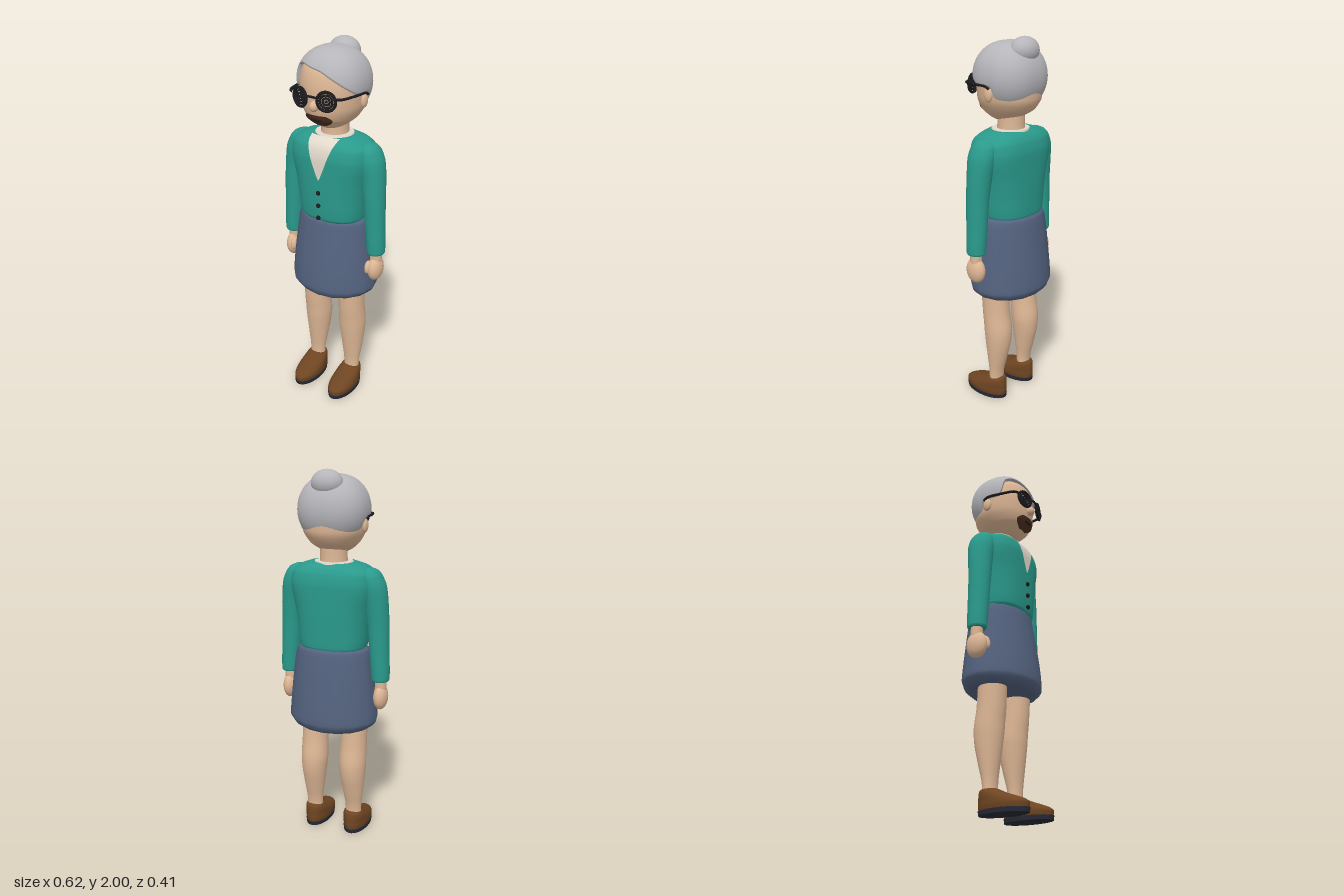
import * as THREE from 'three';

const mat = (name, color) => Object.assign(new THREE.MeshStandardMaterial({ color }), { name });

// Monotone smooth interpolation of section rows [y, cx, cz, rx, rz, n]
function sectionAt(rows, y) {
  const last = rows.length - 1;
  let k = 0;
  while (k < last - 1 && y > rows[k + 1][0]) k++;
  const h = rows[k + 1][0] - rows[k][0], t = Math.min(1, Math.max(0, (y - rows[k][0]) / h));
  const slope = (i, c) => (rows[i + 1][c] - rows[i][c]) / (rows[i + 1][0] - rows[i][0]);
  const tangent = (i, c) => {
    if (i === 0) return slope(0, c);
    if (i === last) return slope(last - 1, c);
    const a = slope(i - 1, c), b = slope(i, c);
    return a * b <= 0 ? 0 : 2 * a * b / (a + b);
  };
  return rows[k].map((v, c) => c === 0 ? y :
    v * (2 * t ** 3 - 3 * t * t + 1) + rows[k + 1][c] * (3 * t * t - 2 * t ** 3)
    + h * (tangent(k, c) * (t ** 3 - 2 * t * t + t) + tangent(k + 1, c) * (t ** 3 - t * t)));
}

const spow = (v, e) => Math.sign(v) * Math.abs(v) ** e;
const ringPoint = ([y, cx, cz, rx, rz, n = 2], a) =>
  [cx + rx * spow(Math.sin(a), 2 / n), y, cz + rz * spow(Math.cos(a), 2 / n)];

function buildGeometry(pos, idx) {
  const g = new THREE.BufferGeometry();
  g.setAttribute('position', new THREE.Float32BufferAttribute(pos, 3));
  g.setIndex(idx);
  g.computeVertexNormals();
  return g;
}

// Closed body lofted upwards through superellipse sections
function loft(rows, N = 40, sub = 4) {
  const pos = [], idx = [], rings = [];
  for (let k = 0; k < rows.length - 1; k++)
    for (let s = 0; s < sub; s++)
      rings.push(sectionAt(rows, rows[k][0] + (rows[k + 1][0] - rows[k][0]) * s / sub));
  rings.push(rows[rows.length - 1]);
  const addRing = r => { for (let i = 0; i < N; i++) pos.push(...ringPoint(r, i / N * Math.PI * 2)); };
  rings.forEach(addRing);
  for (let j = 0; j < rings.length - 1; j++)
    for (let i = 0; i < N; i++) {
      const a = j * N + i, b = j * N + (i + 1) % N;
      idx.push(a, b, a + N, b, b + N, a + N);
    }
  [[rings[0], false], [rings[rings.length - 1], true]].forEach(([r, top]) => {
    const base = pos.length / 3;
    addRing(r);
    pos.push(r[1], r[0], r[2]);
    for (let i = 0; i < N; i++) {
      const a = base + i, b = base + (i + 1) % N;
      idx.push(base + N, top ? a : b, top ? b : a);
    }
  });
  return buildGeometry(pos, idx);
}

// Thin sheet lying on the front of a lofted body
function frontPatch(rows, y0, y1, halfWidth, lift) {
  const pos = [], idx = [], U = 12, V = 14;
  for (let j = 0; j <= V; j++) {
    const y = y0 + (y1 - y0) * j / V, w = halfWidth(j / V);
    const [, , cz, rx, rz, n = 2] = sectionAt(rows, y);
    for (let i = 0; i <= U; i++) {
      const x = w * (2 * i / U - 1);
      pos.push(x, y, cz + rz * Math.max(0, 1 - Math.abs(x / rx) ** n) ** (1 / n) + lift);
      if (i < U && j < V) {
        const a = j * (U + 1) + i, b = a + U + 1;
        idx.push(a, a + 1, b, a + 1, b + 1, b);
      }
    }
  }
  return buildGeometry(pos, idx);
}

// Hair cap: from the crown down to a swept hairline, then tucked inwards
function hairCap() {
  const line = [[-180, 1.67], [-107, 1.675], [-96, 1.76], [-68, 1.77], [-56, 1.88], [-35, 1.9], [0, 1.885],
    [28, 1.845], [50, 1.805], [72, 1.772], [96, 1.765], [107, 1.675], [180, 1.67]];
  const pos = [], idx = [], N = 96, M = 24;
  for (let j = 0; j <= M + 1; j++)
    for (let i = 0; i < N; i++) {
      const deg = i / N * 360 - 180;
      const end = Math.acos((sectionAt(line, deg)[1] - 1.8) / 0.176);
      const p = end * Math.min(j, M) / M;
      const r = Math.max(0, Math.sin(p)) ** 0.85 * (j > M ? 0.84 : 1);
      pos.push(...ringPoint([1.8 + 0.176 * Math.cos(p), 0, -0.003, 0.183 * r, 0.177 * r, 2.35], deg * Math.PI / 180));
      if (j <= M) {
        const a = j * N + i, b = j * N + (i + 1) % N;
        idx.push(a, a + N, b, b, a + N, b + N);
      }
    }
  return buildGeometry(pos, idx);
}

export function createModel() {
  const root = new THREE.Group();
  root.name = 'woman';
  const skin = mat('skin', 0xdeb795), hair = mat('grey hair', 0xb6b5ba), teal = mat('teal knit', 0x2a9a8c),
    denim = mat('blue skirt', 0x54637f), leather = mat('brown leather', 0x6e4522), sole = mat('dark sole', 0x262a34),
    black = mat('black', 0x1c1c20), cream = mat('cream shirt', 0xe2d9cb), lip = mat('dark brown', 0x4e3020);
  hair.side = cream.side = lip.side = THREE.DoubleSide;

  const add = (name, geo, material, p = [0, 0, 0], parent = root) => {
    const m = new THREE.Mesh(geo, material);
    m.name = name;
    m.position.set(...p);
    parent.add(m);
    return m;
  };
  const ball = (name, material, p, r, parent) => {
    const m = add(name, new THREE.SphereGeometry(1, 28, 20), material, p, parent);
    m.scale.set(...r);
    return m;
  };

  // Head, neck and hair
  const headRows = [[1.576, 0, 0.035, 0.025, 0.03], [1.583, 0, 0.03, 0.055, 0.055], [1.605, 0, 0.018, 0.095, 0.095],
    [1.64, 0, 0.008, 0.132, 0.142], [1.7, 0, 0, 0.162, 0.166], [1.78, 0, 0, 0.17, 0.169],
    [1.86, 0, 0, 0.158, 0.156], [1.93, 0, 0, 0.1, 0.1], [1.95, 0, 0, 0.03, 0.03]];
  add('head', loft(headRows), skin);
  add('neck', loft([[1.49, 0, -0.01, 0.078, 0.078], [1.56, 0, -0.01, 0.071, 0.071], [1.66, 0, -0.01, 0.071, 0.071]]), skin);
  add('hair', hairCap(), hair);
  ball('hairBun', hair, [0, 1.932, -0.096], [0.083, 0.068, 0.069]);
  ball('nose', skin, [0, 1.715, 0.176], [0.023, 0.027, 0.026]);
  add('mouth', frontPatch(headRows, 1.605, 1.668, t => 0.028 + 0.05 * Math.sin(Math.PI * Math.min(1, t * 0.8 + 0.02)) ** 1.1, 0.009), lip);
  const lips = ball('lips', black, [0, 1.642, 0.158], [0.032, 0.007, 0.006]);
  lips.rotation.x = 0.3;

  // Torso clothes
  const torsoRows = [[1.075, 0, -0.01, 0.165, 0.128, 2.4], [1.1, 0, -0.007, 0.181, 0.143, 2.4],
    [1.2, 0, -0.005, 0.192, 0.148, 2.4], [1.3, 0, -0.005, 0.205, 0.15, 2.5], [1.42, 0, -0.005, 0.225, 0.15, 2.8],
    [1.48, 0, -0.005, 0.218, 0.139, 2.8], [1.515, 0, -0.005, 0.185, 0.118, 2.6], [1.535, 0, -0.005, 0.13, 0.09, 2.4]];
  add('cardigan', loft(torsoRows, 56), teal);
  add('shirtFront', frontPatch(torsoRows, 1.32, 1.536, t => 0.002 + 0.082 * t ** 0.9, 0.004), cream);
  add('shirtCollar', loft([[1.525, 0, -0.005, 0.108, 0.1], [1.54, 0, -0.007, 0.1, 0.093]]), cream);
  for (const y of [1.11, 1.18, 1.25]) ball('button', black, [0, y, 0.151], [0.012, 0.012, 0.01]);
  add('skirt', loft([[0.64, 0, -0.01, 0.2, 0.165], [0.655, 0, -0.01, 0.225, 0.182], [0.69, 0, -0.01, 0.246, 0.196],
    [0.76, 0, -0.01, 0.241, 0.192], [0.9, 0, -0.012, 0.227, 0.176], [1.02, 0, -0.014, 0.212, 0.16],
    [1.075, 0, -0.014, 0.2, 0.151], [1.09, 0, -0.014, 0.185, 0.14]], 16), denim);

  // Glasses bridge
  const bridge = new THREE.QuadraticBezierCurve3(new THREE.Vector3(-0.03, 1.765, 0.195),
    new THREE.Vector3(0, 1.775, 0.21), new THREE.Vector3(0.03, 1.765, 0.195));
  add('glassesBridge', new THREE.TubeGeometry(bridge, 10, 0.006, 8), black);

  for (const s of [-1, 1]) {
    const side = s > 0 ? 'left' : 'right';
    ball(side + 'Ear', skin, [s * 0.168, 1.727, -0.008], [0.016, 0.038, 0.025]);

    // Lens rings and temple arm
    const lens = new THREE.Group();
    lens.name = side + 'Lens';
    lens.position.set(s * 0.075, 1.753, 0.184);
    lens.rotation.y = s * 0.28;
    root.add(lens);
    [[0.046, 0.008], [0.031, 0.006], [0.017, 0.006]].forEach(([r, t]) =>
      add('lensRing', new THREE.TorusGeometry(r, t, 8, 32), black, [0, 0, 0], lens));
    ball('pupil', black, [0, 0, 0], [0.008, 0.008, 0.006], lens);
    const arm = new THREE.CatmullRomCurve3([[0.122, 1.768, 0.174], [0.147, 1.769, 0.16], [0.17, 1.769, 0.08],
      [0.181, 1.768, 0], [0.179, 1.755, -0.025]].map(([x, y, z]) => new THREE.Vector3(s * x, y, z)));
    add(side + 'GlassesArm', new THREE.TubeGeometry(arm, 24, 0.007, 8), black);

    // Sleeve and hand
    add(side + 'Sleeve', loft([[0.915, s * 0.262, 0, 0.044, 0.048], [0.925, s * 0.262, 0, 0.048, 0.052],
      [1.05, s * 0.255, 0, 0.052, 0.056], [1.2, s * 0.246, 0, 0.057, 0.06], [1.33, s * 0.234, -0.005, 0.063, 0.067],
      [1.42, s * 0.22, -0.008, 0.066, 0.075], [1.47, s * 0.206, -0.01, 0.06, 0.07],
      [1.5, s * 0.197, -0.01, 0.046, 0.052], [1.515, s * 0.19, -0.01, 0.02, 0.02]], 32), teal);
    add(side + 'Wrist', new THREE.CylinderGeometry(0.031, 0.031, 0.1, 24), skin, [s * 0.264, 0.89, 0]);
    ball(side + 'Hand', skin, [s * 0.265, 0.823, 0.002], [0.038, 0.07, 0.058]);
    const thumb = ball(side + 'Thumb', skin, [s * 0.24, 0.838, 0.042], [0.017, 0.037, 0.021]);
    thumb.rotation.x = -0.25;

    // Leg and shoe
    add(side + 'Leg', loft([[0.09, s * 0.117, -0.005, 0.045, 0.035], [0.14, s * 0.118, -0.006, 0.045, 0.036],
      [0.25, s * 0.117, -0.013, 0.057, 0.054], [0.36, s * 0.115, -0.018, 0.07, 0.073],
      [0.43, s * 0.114, -0.016, 0.075, 0.078], [0.53, s * 0.115, -0.004, 0.072, 0.076],
      [0.7, s * 0.118, 0.006, 0.071, 0.075]], 32), skin);
    add(side + 'Shoe', loft([[0.02, s * 0.117, 0.07, 0.066, 0.134], [0.045, s * 0.117, 0.07, 0.07, 0.137],
      [0.06, s * 0.117, 0.063, 0.069, 0.129], [0.08, s * 0.117, 0.04, 0.066, 0.105],
      [0.1, s * 0.117, 0.014, 0.06, 0.076], [0.118, s * 0.117, -0.002, 0.05, 0.054],
      [0.127, s * 0.117, -0.005, 0.036, 0.035]], 36), leather);
    add(side + 'Sole', loft([[0, s * 0.117, 0.07, 0.068, 0.135], [0.022, s * 0.117, 0.07, 0.07, 0.138]], 36, 1), sole);
  }
  return root;
}
